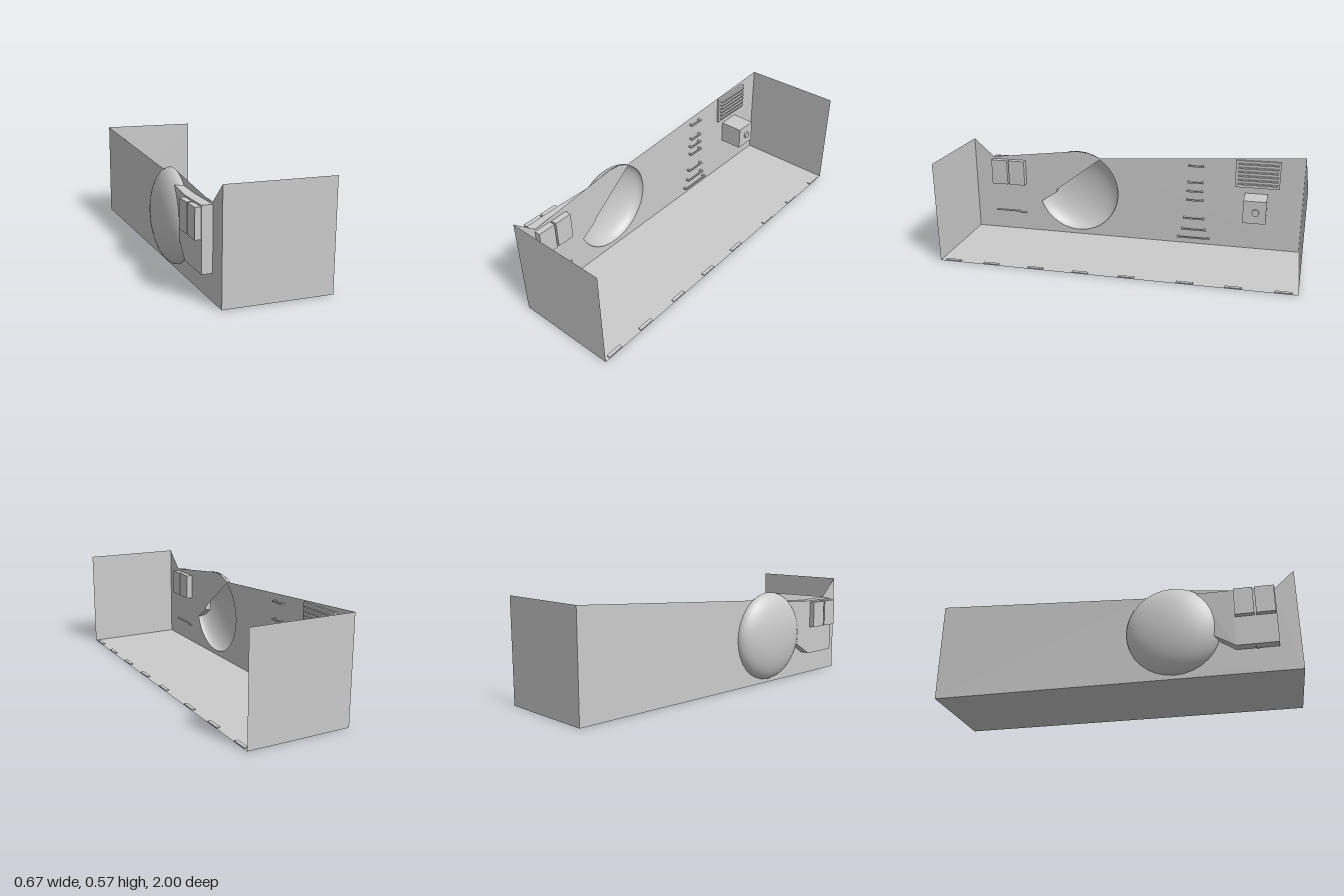
import * as THREE from 'three';
import { ConvexGeometry } from 'three/addons/geometries/ConvexGeometry.js';

const WALL = -0.235, EDGE = 0.335, H = 0.573;

export function createModel() {
  const model = new THREE.Group();
  const mat = new THREE.MeshStandardMaterial({ color: 0xcccccc, side: THREE.DoubleSide });
  const flat = new THREE.MeshStandardMaterial({ color: 0xcccccc, side: THREE.DoubleSide, flatShading: true });

  const add = (name, geometry, material = mat, parent = model) => {
    const mesh = new THREE.Mesh(geometry, material);
    mesh.name = name;
    parent.add(mesh);
    return mesh;
  };
  // Box given by its extents along each axis
  const box = (name, x0, x1, y0, y1, z0, z1, parent = model) => {
    const mesh = add(name, new THREE.BoxGeometry(x1 - x0, y1 - y0, z1 - z0), mat, parent);
    mesh.position.set((x0 + x1) / 2, (y0 + y1) / 2, (z0 + z1) / 2);
    return mesh;
  };
  const group = (name) => {
    const g = new THREE.Group();
    g.name = name;
    model.add(g);
    return g;
  };

  // Floor and the two end walls
  const midX = (WALL + EDGE) / 2, width = EDGE - WALL;
  const floor = add('floor', new THREE.PlaneGeometry(width, 2));
  floor.rotation.x = -Math.PI / 2;
  floor.position.x = midX;
  for (const s of [1, -1]) {
    const end = add(s > 0 ? 'frontWall' : 'backWall', new THREE.PlaneGeometry(width, H));
    end.position.set(midX, H / 2, s);
  }

  // Side wall, drawn in (z, y), with the opening to the bowl below a slanted chord
  const outline = [[-1, 0], [1, 0], [1, H], [0.88, 0.465], [0.34, 0.531], [0.27, 0.522], [0.2, 0.495], [-1, H]];
  const wall = new THREE.Shape(outline.map(([z, y]) => new THREE.Vector2(z, y)));
  const opening = new THREE.Path();
  opening.absarc(0.34, 0.277, 0.25, 2.15, 5.99, false);
  opening.closePath();
  wall.holes.push(opening);
  const wallGeometry = new THREE.ShapeGeometry(wall, 32);
  wallGeometry.rotateY(-Math.PI / 2);
  add('sideWall', wallGeometry).position.x = WALL;

  // Shallow bowl bulging out of the side wall
  const dome = new THREE.SphereGeometry(1, 32, 12, 0, Math.PI * 2, 0, Math.PI / 2);
  dome.rotateZ(Math.PI / 2);
  dome.scale(0.101, 0.255, 0.255);
  add('bowl', dome).position.set(WALL, 0.277, 0.34);

  // Thin flap beside the chord of the bowl
  const flap = new THREE.Shape([[0.2, 0.49], [0.29, 0.44], [0.65, 0.265], [0.58, 0.2]]
    .map(([z, y]) => new THREE.Vector2(z, y)));
  const flapGeometry = new THREE.ShapeGeometry(flap);
  flapGeometry.rotateY(-Math.PI / 2);
  add('flap', flapGeometry).position.x = WALL + 0.003;

  // Outer housing with its neck running into the bowl
  const housing = group('housing');
  box('housingBody', -0.29, WALL, 0.137, 0.46, 0.668, 0.89, housing);
  const neck = [];
  for (const [x, y, z] of [[-0.29, 0.137, 0.668], [-0.29, 0.46, 0.668], [-0.27, 0.26, 0.48], [-0.275, 0.47, 0.48]]) {
    neck.push(new THREE.Vector3(x, y, z), new THREE.Vector3(WALL, y, z));
  }
  add('housingNeck', new ConvexGeometry(neck), flat, housing);
  const stud = add('housingStud', new THREE.CylinderGeometry(0.012, 0.012, 0.01, 16), mat, housing);
  stud.position.set(-0.255, 0.135, 0.78);
  for (const z of [0.675, 0.785]) box('housingBlock', -0.32, -0.2, 0.3, 0.452, z, z + 0.1, housing);

  // Ledge inside, under the housing
  box('ledge', WALL, -0.225, 0.115, 0.121, 0.72, 0.88);
  box('ledgeEnd', WALL, -0.225, 0.108, 0.114, 0.68, 0.72);

  // Row of small handles up the side wall: height, start z, end z
  const handles = group('handles');
  for (const [y, z0, z1] of [[0.49, -0.425, -0.335], [0.39, -0.425, -0.335], [0.335, -0.425, -0.33],
    [0.28, -0.43, -0.33], [0.165, -0.44, -0.315], [0.095, -0.45, -0.305], [0.042, -0.475, -0.28]]) {
    box('handleBar', -0.219, -0.211, y - 0.004, y + 0.004, z0, z1, handles);
    for (const z of [z0, z1 - 0.012]) box('handlePost', WALL, -0.219, y - 0.004, y + 0.004, z, z + 0.012, handles);
  }

  // Vent plate with slats
  const vent = group('vent');
  box('ventPlate', WALL, -0.222, 0.38, 0.541, -0.865, -0.61, vent);
  for (let i = 0; i < 6; i++) {
    const y = 0.402 + i * 0.024;
    box('ventSlat', -0.222, -0.21, y - 0.004, y + 0.004, -0.855, -0.625, vent);
  }

  // Control box with a round knob
  box('controlBox', WALL, -0.095, 0.21, 0.343, -0.8, -0.67);
  const knob = add('knob', new THREE.CylinderGeometry(0.02, 0.02, 0.012, 20));
  knob.rotation.z = Math.PI / 2;
  knob.position.set(-0.089, 0.277, -0.74);

  // Strips along the open edge of the floor
  const strips = group('floorStrips');
  for (const z of [0.925, 0.695, 0.435, 0.175, -0.085, -0.405, -0.665, -0.925]) {
    box('floorStrip', 0.313, 0.333, 0, 0.006, z - 0.045, z + 0.045, strips);
  }
  return model;
}
